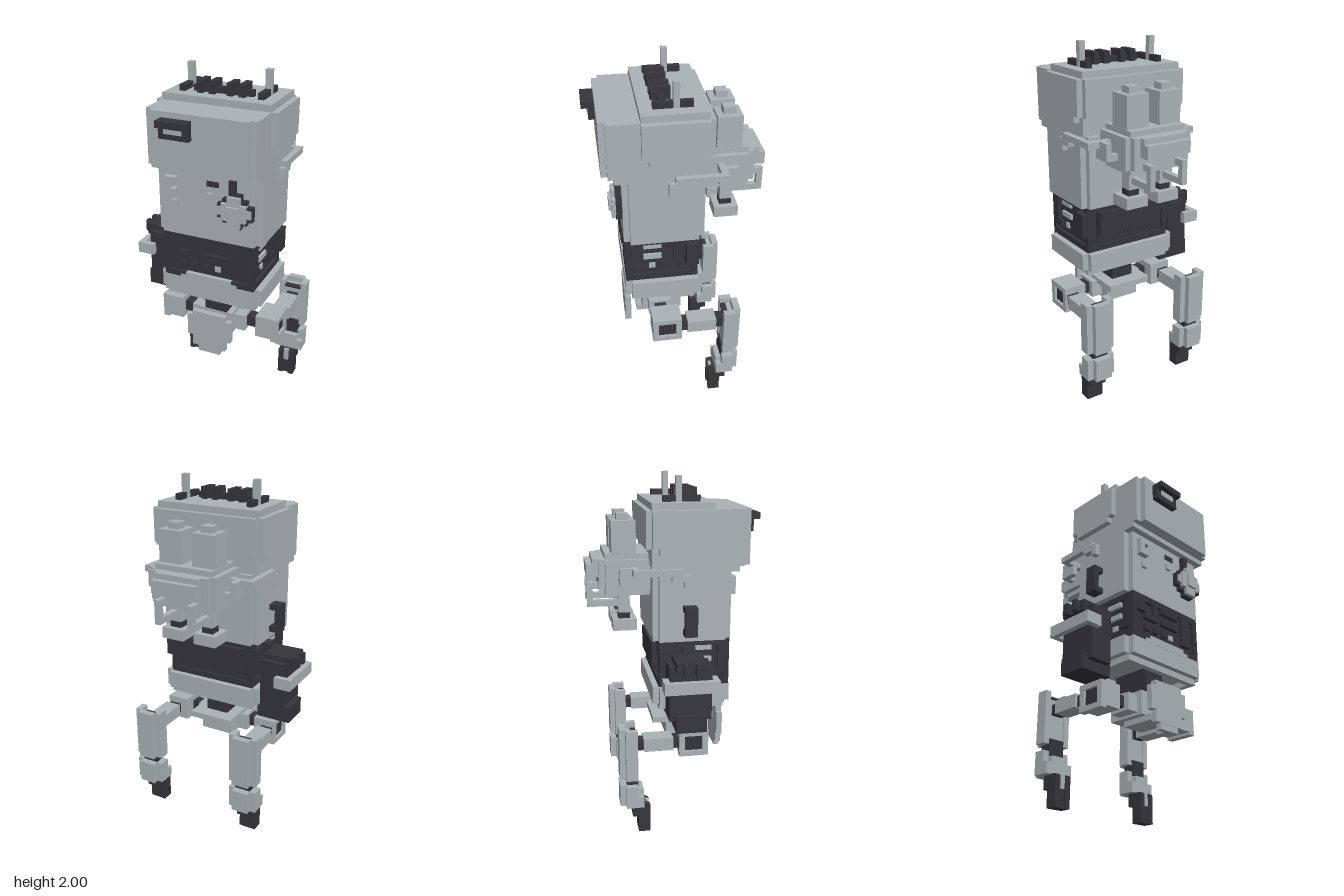
import * as THREE from 'three';

const light = new THREE.MeshStandardMaterial({ color: 0xabb3b6 });
light.name = 'lightGrey';
const dark = new THREE.MeshStandardMaterial({ color: 0x36353b });
dark.name = 'charcoal';

// Body is symmetric about x = 0.05
const mirror = (x) => 0.1 - x;

function part(parent, name) {
  const g = new THREE.Group();
  g.name = name;
  parent.add(g);
  return g;
}

// Block given by its limits on each axis
function box(parent, name, mat, [x0, x1], [y0, y1], [z0, z1]) {
  const m = new THREE.Mesh(new THREE.BoxGeometry(x1 - x0, y1 - y0, z1 - z0), mat);
  m.position.set((x0 + x1) / 2, (y0 + y1) / 2, (z0 + z1) / 2);
  m.name = name;
  parent.add(m);
}

// Same block on both sides
function pair(parent, name, mat, x, y, z) {
  box(parent, name + 'Left', mat, x, y, z);
  box(parent, name + 'Right', mat, [mirror(x[1]), mirror(x[0])], y, z);
}

function buildTorso(root) {
  const t = part(root, 'torso');
  box(t, 'torsoWide', light, [-0.255, 0.355], [1.12, 1.52], [-0.1, 0.27]);
  box(t, 'torsoDeep', light, [-0.22, 0.32], [1.12, 1.52], [-0.132, 0.303]);
  // Small chest details
  box(t, 'chestHook', light, [-0.187, -0.12], [1.43, 1.46], [0.3, 0.337]);
  box(t, 'chestHook', light, [-0.187, -0.12], [1.36, 1.395], [0.3, 0.337]);
  box(t, 'chestHook', light, [-0.187, -0.155], [1.36, 1.46], [0.3, 0.337]);
  box(t, 'chestStud', light, [-0.155, -0.12], [1.29, 1.325], [0.3, 0.32]);
  box(t, 'chestSlot', dark, [0.05, 0.118], [1.43, 1.46], [0.3, 0.308]);
  box(t, 'chestStud', light, [0.05, 0.085], [1.36, 1.395], [0.3, 0.32]);
  // Round chest lamp
  const lamp = part(t, 'chestLamp');
  box(lamp, 'lampRim', dark, [0.12, 0.32], [1.28, 1.36], [0.3, 0.335]);
  box(lamp, 'lampRim', dark, [0.15, 0.288], [1.255, 1.39], [0.3, 0.334]);
  box(lamp, 'lampRim', dark, [0.185, 0.255], [1.225, 1.42], [0.3, 0.335]);
  box(lamp, 'lampStem', dark, [0.185, 0.22], [1.4, 1.49], [0.3, 0.335]);
  box(lamp, 'lampFace', light, [0.125, 0.315], [1.3, 1.345], [0.3, 0.345]);
  box(lamp, 'lampFace', light, [0.15, 0.288], [1.275, 1.37], [0.3, 0.355]);
  box(lamp, 'lampFace', light, [0.185, 0.255], [1.235, 1.41], [0.3, 0.355]);
  box(lamp, 'lampCentre', light, [0.185, 0.255], [1.285, 1.36], [0.34, 0.37]);
  // Carry handle on the right side
  const h = part(t, 'sideHandle');
  for (const y of [1.16, 1.29]) box(h, 'handleEnd', dark, [-0.32, -0.255], [y, y + 0.033], [0.03, 0.1]);
  box(h, 'handleGrip', dark, [-0.32, -0.288], [1.16, 1.323], [0.03, 0.1]);
}

function buildHead(root) {
  const h = part(root, 'head');
  box(h, 'headWide', light, [-0.255, 0.355], [1.53, 1.83], [-0.137, 0.37]);
  box(h, 'headFront', light, [-0.22, 0.32], [1.53, 1.83], [-0.1, 0.403]);
  box(h, 'headChin', light, [-0.255, 0.355], [1.5, 1.53], [-0.1, 0.34]);
  box(h, 'headBack', light, [-0.255, 0.355], [1.63, 1.83], [-0.168, -0.1]);
  box(h, 'roof', light, [-0.255, 0.355], [1.83, 1.867], [-0.137, 0.2]);
  pair(h, 'cheekPlate', light, [0.35, 0.388], [1.635, 1.83], [-0.137, 0.2]);
  pair(h, 'cheekPlateLower', light, [0.35, 0.388], [1.6, 1.64], [-0.1, 0.165]);
  // Eye under a hood
  box(h, 'eyeHood', dark, [-0.153, 0.015], [1.765, 1.8], [0.4, 0.472]);
  box(h, 'eyeHousing', dark, [-0.153, 0.015], [1.7, 1.765], [0.4, 0.437]);
  box(h, 'eyeLens', light, [-0.12, -0.02], [1.73, 1.764], [0.43, 0.443]);
  // Roof fins and antennas
  box(h, 'finRail', dark, [-0.118, 0.218], [1.865, 1.9], [0.065, 0.1]);
  for (const x of [-0.085, -0.018, 0.083, 0.15])
    box(h, 'fin', dark, [x, x + 0.033], [1.865, 1.933], [0.031, 0.133]);
  pair(h, 'antennaBase', dark, [0.255, 0.287], [1.865, 1.9], [-0.068, 0.133]);
  pair(h, 'antenna', light, [0.254, 0.288], [1.865, 2.0], [0, 0.033]);
}

function buildBackpack(root) {
  const b = part(root, 'backpack');
  box(b, 'packBody', light, [-0.15, 0.25], [1.39, 1.56], [-0.375, -0.12]);
  box(b, 'packCore', light, [-0.12, 0.22], [1.36, 1.59], [-0.375, -0.12]);
  box(b, 'packCover', light, [-0.12, 0.22], [1.39, 1.56], [-0.41, -0.37]);
  // Rear grab bar
  pair(b, 'grabBarEnd', light, [0.15, 0.183], [1.46, 1.53], [-0.475, -0.4]);
  box(b, 'grabBar', light, [-0.085, 0.183], [1.46, 1.53], [-0.475, -0.442]);
  box(b, 'grabBarLip', light, [-0.085, 0.183], [1.53, 1.56], [-0.442, -0.4]);
  // Twin tanks with nozzles and pipes
  pair(b, 'tank', light, [0.083, 0.218], [1.58, 1.765], [-0.338, -0.205]);
  pair(b, 'tankCap', light, [0.117, 0.184], [1.76, 1.8], [-0.305, -0.24]);
  pair(b, 'tankNeck', light, [0.117, 0.184], [1.255, 1.37], [-0.305, -0.24]);
  pair(b, 'nozzleRing', dark, [0.117, 0.184], [1.22, 1.256], [-0.305, -0.24]);
  pair(b, 'nozzle', light, [0.083, 0.218], [1.16, 1.222], [-0.338, -0.205]);
  pair(b, 'pipeTop', light, [0.134, 0.167], [1.39, 1.425], [-0.475, -0.4]);
  pair(b, 'pipe', light, [0.134, 0.167], [1.29, 1.4], [-0.475, -0.442]);
  pair(b, 'pipeBottom', light, [0.134, 0.167], [1.29, 1.325], [-0.475, -0.3]);
  // Hoses round the sides of the body
  pair(b, 'hoseOut', light, [0.24, 0.388], [1.49, 1.525], [-0.24, -0.205]);
  pair(b, 'hoseSide', light, [0.355, 0.388], [1.49, 1.525], [-0.24, 0.033]);
  pair(b, 'hoseStep', light, [0.35, 0.388], [1.46, 1.495], [-0.035, 0.067]);
  pair(b, 'hoseEnd', light, [0.35, 0.388], [1.425, 1.465], [0.033, 0.067]);
  pair(b, 'hoseBack', light, [0.24, 0.32], [1.43, 1.465], [-0.305, -0.27]);
  pair(b, 'hoseDrop', light, [0.288, 0.32], [1.43, 1.525], [-0.305, -0.205]);
}

function buildWaist(root) {
  const w = part(root, 'waist');
  box(w, 'waistCore', dark, [-0.2, 0.3], [0.78, 1.125], [-0.085, 0.28]);
  // Frame rails round the machinery
  for (const y of [0.85, 1.085]) box(w, 'waistRail', dark, [-0.22, 0.32], [y, y + 0.035], [-0.1, 0.3]);
  pair(w, 'waistPost', dark, [0.288, 0.32], [0.85, 1.12], [0.268, 0.3]);
  pair(w, 'waistPost', dark, [0.288, 0.32], [0.85, 1.12], [-0.1, -0.068]);
  // Front and back machinery
  const blocks = [[-0.187, -0.12, 1.02, 1.085], [-0.12, -0.02, 0.985, 1.02], [-0.053, -0.02, 1.02, 1.085],
    [0.015, 0.15, 1.055, 1.085], [0.015, 0.15, 0.985, 1.02], [0.184, 0.255, 0.915, 1.085],
    [-0.12, -0.085, 0.915, 0.95], [-0.053, -0.02, 0.915, 0.95], [0.015, 0.05, 0.915, 0.95]];
  for (const [x0, x1, y0, y1] of blocks) {
    box(w, 'frontBlock', dark, [x0, x1], [y0, y1], [0.27, 0.303]);
    box(w, 'backBlock', dark, [x0, x1], [y0, y1], [-0.103, -0.07]);
  }
  box(w, 'frontLight', light, [0.085, 0.118], [0.92, 0.95], [0.27, 0.29]);
  box(w, 'backRib', dark, [-0.153, 0.253], [0.95, 1.085], [-0.13, -0.09]);
  // Side machinery
  for (const [z0, z1, y0, y1] of [[-0.035, 0.035, 0.985, 1.085], [0.235, 0.268, 0.915, 1.085], [-0.035, 0.0, 0.915, 0.95], [0.2, 0.235, 0.915, 0.95]])
    pair(w, 'sideBlock', dark, [0.295, 0.32], [y0, y1], [z0, z1]);
  pair(w, 'sideBox', dark, [0.3, 0.354], [0.95, 1.085], [-0.1, -0.03]);
  for (const y of [0.985, 1.055]) pair(w, 'sideLight', light, [0.295, 0.315], [y, y + 0.03], [0.1, 0.2]);
  pair(w, 'sideLamp', light, [0.295, 0.31], [0.92, 0.95], [0.135, 0.17]);
  // Hollow collar
  const c = part(root, 'collar');
  pair(c, 'collarSide', light, [0.32, 0.355], [0.75, 0.85], [-0.1, 0.27]);
  pair(c, 'collarSideLip', light, [0.288, 0.321], [0.715, 0.849], [-0.1, 0.27]);
  for (const [z0, z1, lip] of [[0.27, 0.304, 0.237], [-0.133, -0.1, -0.1]]) {
    box(c, 'collarEnd', light, [-0.22, 0.32], [0.75, 0.85], [z0, z1]);
    box(c, 'collarEndLip', light, [-0.22, 0.32], [0.715, 0.849], [lip, lip + 0.034]);
  }
  box(c, 'collarFloor', light, [-0.2, 0.3], [0.75, 0.8], [-0.09, 0.26]);
  box(c, 'collarCrest', light, [-0.087, 0.187], [0.845, 0.885], [0.27, 0.306]);
  box(c, 'collarCrestBase', light, [-0.12, 0.22], [0.84, 0.866], [0.27, 0.305]);
}

function buildPod(root) {
  // Equipment pod on the right hip
  const p = part(root, 'sidePod');
  box(p, 'podBody', dark, [-0.39, -0.255], [0.71, 1.02], [-0.068, 0.167]);
  box(p, 'podTop', dark, [-0.425, -0.255], [0.985, 1.05], [-0.035, 0.133]);
  box(p, 'podBottom', dark, [-0.425, -0.225], [0.65, 0.745], [-0.035, 0.133]);
  for (const z of [0, 0.067]) {
    box(p, 'podRib', dark, [-0.455, -0.3], [0.985, 1.05], [z, z + 0.033]);
  }
  for (const y of [0.885, 1.02]) box(p, 'podMount', dark, [-0.26, -0.2], [y, y + 0.065], [0.03, 0.1]);
  box(p, 'podStrap', light, [-0.455, -0.422], [0.885, 0.95], [-0.103, 0.2]);
  for (const z of [-0.103, 0.167]) box(p, 'podStrapEnd', light, [-0.455, -0.355], [0.885, 0.95], [z, z + 0.033]);
}

function buildPelvis(root) {
  const p = part(root, 'pelvis');
  box(p, 'spine', dark, [-0.018, 0.118], [0.6, 0.77], [-0.033, 0.2]);
  box(p, 'pelvisCore', light, [-0.053, 0.153], [0.475, 0.61], [-0.033, 0.2]);
  box(p, 'pelvisBase', light, [-0.018, 0.118], [0.443, 0.48], [0.033, 0.233]);
  box(p, 'pelvisBack', light, [-0.085, 0.185], [0.575, 0.61], [-0.115, 0.1]);
  box(p, 'pelvisBar', light, [-0.12, 0.22], [0.49, 0.59], [0.033, 0.167]);
  box(p, 'plateBracket', light, [0.015, 0.085], [0.545, 0.58], [0.18, 0.28]);
  // Front guard plate
  box(p, 'guardPlate', light, [-0.053, 0.153], [0.41, 0.64], [0.27, 0.304]);
  box(p, 'guardPlateWide', light, [-0.085, 0.185], [0.475, 0.61], [0.27, 0.303]);
  box(p, 'guardPlateTip', light, [-0.018, 0.118], [0.375, 0.42], [0.27, 0.303]);
}

function buildLegs(root) {
  const l = part(root, 'legs');
  // Hip joint and link to the rear leg
  pair(l, 'hipAxle', dark, [0.2, 0.3], [0.51, 0.575], [0.067, 0.133]);
  pair(l, 'hipBlock', light, [0.285, 0.385], [0.475, 0.61], [0.0, 0.167]);
  pair(l, 'hipCap', dark, [0.38, 0.405], [0.485, 0.6], [0.033, 0.133]);
  for (const y of [0.46, 0.58]) pair(l, 'hipRim', light, [0.38, 0.42], [y, y + 0.03], [0.0, 0.167]);
  for (const z of [0, 0.134]) pair(l, 'hipRim', light, [0.38, 0.419], [0.47, 0.6], [z, z + 0.033]);
  pair(l, 'linkJoint', dark, [0.337, 0.405], [0.51, 0.57], [-0.035, 0.005]);
  pair(l, 'link', light, [0.32, 0.42], [0.505, 0.58], [-0.2, -0.034]);
  pair(l, 'linkJoint', dark, [0.337, 0.405], [0.51, 0.57], [-0.26, -0.19]);
  // Thigh shell, open towards the front
  pair(l, 'thighBack', light, [0.32, 0.42], [0.345, 0.645], [-0.338, -0.3]);
  pair(l, 'thighOuter', light, [0.42, 0.455], [0.345, 0.645], [-0.305, -0.238]);
  pair(l, 'thighInner', light, [0.285, 0.32], [0.345, 0.645], [-0.305, -0.238]);
  pair(l, 'thighFill', light, [0.319, 0.421], [0.375, 0.61], [-0.305, -0.245]);
  pair(l, 'thighCore', dark, [0.32, 0.42], [0.6, 0.615], [-0.27, -0.24]);
  pair(l, 'knee', dark, [0.322, 0.418], [0.28, 0.375], [-0.3, -0.235]);
  // Shin shell
  pair(l, 'shinBack', light, [0.32, 0.42], [0.175, 0.305], [-0.338, -0.3]);
  pair(l, 'shinSides', light, [0.285, 0.455], [0.175, 0.305], [-0.305, -0.238]);
  pair(l, 'shinFront', light, [0.32, 0.42], [0.175, 0.275], [-0.24, -0.205]);
  pair(l, 'shinOuter', light, [0.42, 0.455], [0.175, 0.24], [-0.24, -0.205]);
  pair(l, 'shinInner', light, [0.285, 0.32], [0.175, 0.24], [-0.24, -0.205]);
  // Foot
  pair(l, 'footUpper', dark, [0.32, 0.42], [0.1, 0.176], [-0.268, -0.18]);
  pair(l, 'footLower', dark, [0.32, 0.42], [0, 0.1], [-0.235, -0.18]);
  pair(l, 'footToeOuter', dark, [0.388, 0.42], [0, 0.17], [-0.19, -0.168]);
  pair(l, 'footToeInner', dark, [0.32, 0.352], [0, 0.17], [-0.19, -0.168]);
  pair(l, 'footStrip', light, [0.354, 0.386], [0.1, 0.178], [-0.19, -0.173]);
}

export function createModel() {
  const root = new THREE.Group();
  root.name = 'robot';
  [buildTorso, buildHead, buildBackpack, buildWaist, buildPod, buildPelvis, buildLegs].forEach((build) => build(root));
  return root;
}
